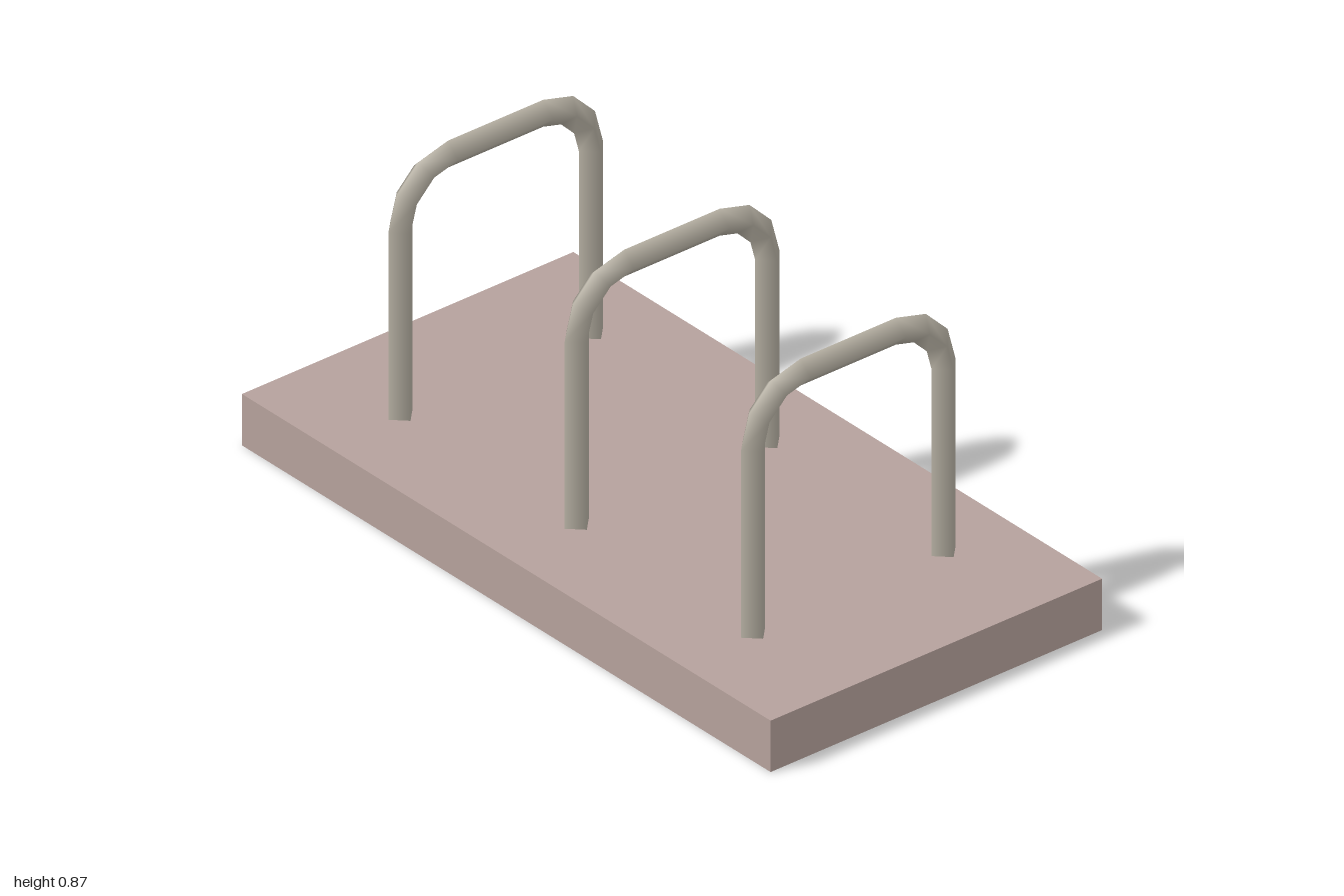
import * as THREE from 'three';

const HALF_W = 0.30, BEND = 0.15, BEND_Y = 0.683, FOOT_Y = 0.155, TUBE_R = 0.038;

// Upside-down U whose samples fall on the feet and on 30 degree steps of the bends
class HoopCurve extends THREE.Curve {
  constructor() {
    super();
    this.stations = [];
    const add = (x, y, angle) => this.stations.push({
      point: new THREE.Vector3(x, y, 0),
      tangent: new THREE.Vector3(Math.sin(angle), Math.cos(angle), 0),
    });
    add(-HALF_W, FOOT_Y, 0);
    for (const side of [-1, 1]) {
      for (let i = 0; i < 4; i++) {
        const a = (i + (side > 0 ? 3 : 0)) * Math.PI / 6;
        add(side * (HALF_W - BEND) - BEND * Math.cos(a), BEND_Y + BEND * Math.sin(a), a);
      }
    }
    add(HALF_W, FOOT_Y, Math.PI);
  }
  at(u) { return this.stations[Math.round(u * (this.stations.length - 1))]; }
  getPointAt(u, target = new THREE.Vector3()) { return target.copy(this.at(u).point); }
  getTangentAt(u, target = new THREE.Vector3()) { return target.copy(this.at(u).tangent); }
  getPoint(u, target) { return this.getPointAt(u, target); }
  getTangent(u, target) { return this.getTangentAt(u, target); }
}

export function createModel() {
  const model = new THREE.Group();
  model.name = 'hoopRack';
  const baseMat = new THREE.MeshStandardMaterial({ color: 0xb5a19c });
  const metalMat = new THREE.MeshStandardMaterial({ color: 0xb3ada0 });

  // Slab base
  const base = new THREE.Mesh(new THREE.BoxGeometry(1.044, 0.145, 2), baseMat);
  base.name = 'base';
  base.position.y = 0.0725;
  model.add(base);

  // Three four-sided hoops, hovering just above the slab
  const curve = new HoopCurve();
  const tubeGeo = new THREE.TubeGeometry(curve, curve.stations.length - 1, TUBE_R, 4, false);
  const capGeo = new THREE.CircleGeometry(TUBE_R, 4).rotateX(Math.PI / 2);
  [-0.667, 0, 0.667].forEach((z, i) => {
    const hoop = new THREE.Group();
    hoop.name = `hoop${i + 1}`;
    hoop.position.z = z;
    const tube = new THREE.Mesh(tubeGeo, metalMat);
    tube.name = 'hoopTube';
    hoop.add(tube);
    for (const side of [-1, 1]) {
      const cap = new THREE.Mesh(capGeo, metalMat);
      cap.name = side < 0 ? 'rightFootCap' : 'leftFootCap';
      cap.position.set(side * HALF_W, FOOT_Y, 0);
      hoop.add(cap);
    }
    model.add(hoop);
  });
  return model;
}
